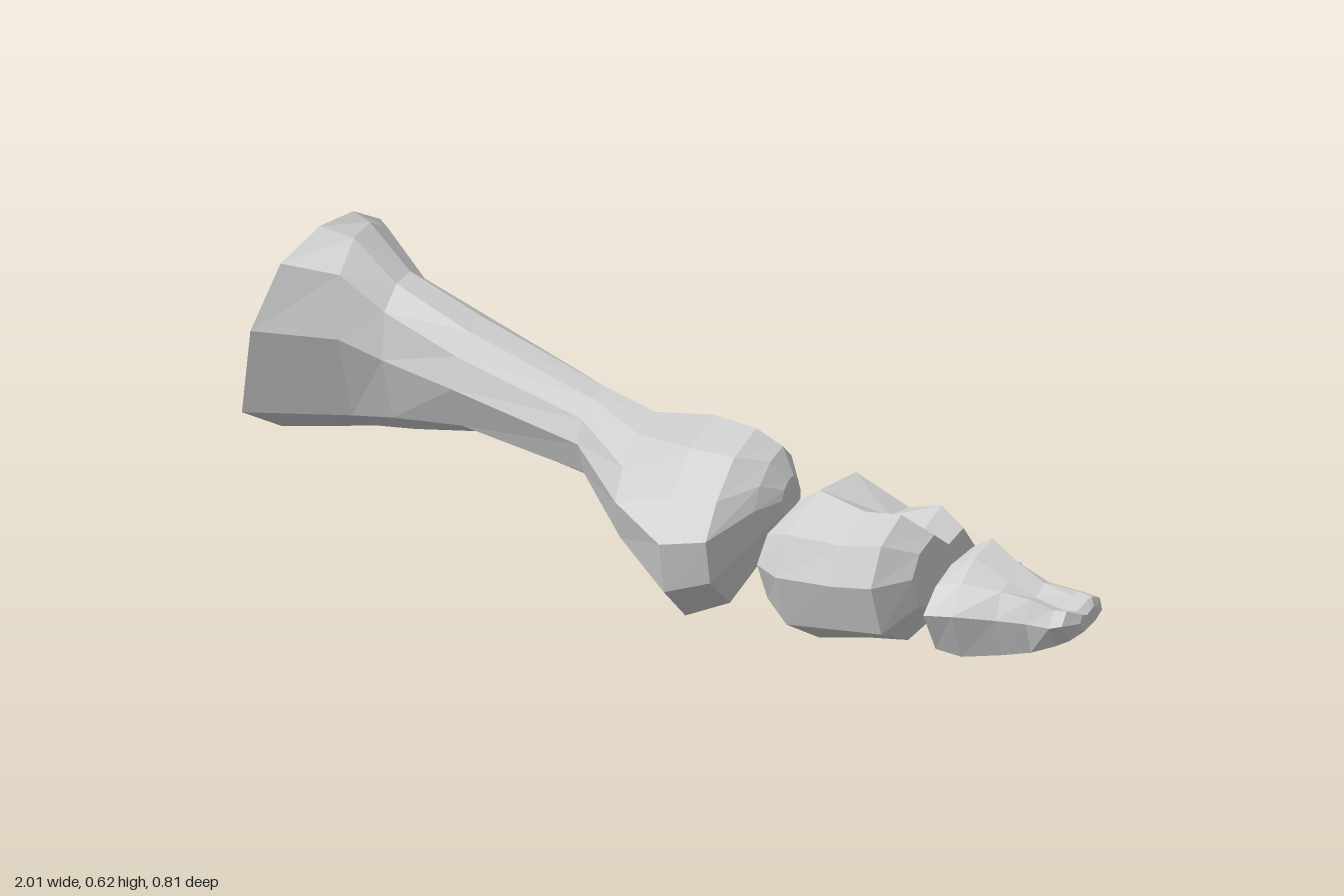
import * as THREE from 'three';

const material = new THREE.MeshStandardMaterial({ color: 0xcccccc, flatShading: true });

// Scale an outline of [z, y] points to the unit square.
function normalise(points) {
  const zs = points.map(p => p[0]), ys = points.map(p => p[1]);
  const z0 = Math.min(...zs), z1 = Math.max(...zs), y0 = Math.min(...ys), y1 = Math.max(...ys);
  return points.map(([z, y]) => [(z - z0) / (z1 - z0), (y - y0) / (y1 - y0)]);
}

// Loft along x. Each section is [x, yMin, yMax, zMin, zMax, slantY, slantZ, blend]:
// the outline blends from startShape to endShape, fills the box and leans by the slants.
function bone(name, startShape, endShape, sections) {
  const a = normalise(startShape), b = normalise(endShape), n = a.length;
  const positions = [], index = [];
  const centres = [];
  for (const [x, y0, y1, z0, z1, slantY = 0, slantZ = 0, blend = 0] of sections) {
    const shape = normalise(a.map((p, i) => [0, 1].map(k => p[k] + (b[i][k] - p[k]) * blend)));
    const centre = [0, 0, 0];
    for (const [u, v] of shape) {
      const y = y0 + (y1 - y0) * v, z = z0 + (z1 - z0) * u;
      const point = [x + slantY * (y - (y0 + y1) / 2) + slantZ * (z - (z0 + z1) / 2), y, z];
      positions.push(...point);
      point.forEach((c, k) => { centre[k] += c / n; });
    }
    centres.push(centre);
  }
  const last = (sections.length - 1) * n, cap = sections.length * n;
  positions.push(...centres[0], ...centres[centres.length - 1]);
  for (let j = 0; j < n; j++) {
    const k = (j + 1) % n;
    for (let r = 0; r < last; r += n) {
      index.push(r + j, r + k, r + n + j, r + k, r + n + k, r + n + j);
    }
    index.push(cap, k, j, cap + 1, last + j, last + k);
  }
  const indexed = new THREE.BufferGeometry();
  indexed.setAttribute('position', new THREE.Float32BufferAttribute(positions, 3));
  indexed.setIndex(index);
  const geometry = indexed.toNonIndexed();
  geometry.computeVertexNormals();
  const mesh = new THREE.Mesh(geometry, material);
  mesh.name = name;
  return mesh;
}

export function createModel() {
  const model = new THREE.Group();
  model.name = 'toeBones';

  // Long bone: wedge-shaped base, slim shaft, knuckle head with two lobes below
  const base = [[-.15, .62], [-.06, .61], [.02, .55], [.03, .41], [-.05, .22],
    [-.2, .155], [-.37, .24], [-.4, .33], [-.32, .47], [-.25, .58]];
  const head = [[.04, .37], [.14, .33], [.22, .25], [.27, .17], [.25, .07],
    [.16, 0], [.1, .08], [-.02, .1], [-.07, .15], [-.02, .31]];
  model.add(bone('longBone', base, head, [
    [-.905, .155, .62, -.405, .03, .41, -.24, 0],
    [-.79, .18, .6, -.4, .01, 0, .1, 0],
    [-.68, .205, .525, -.27, 0, 0, 0, .1],
    [-.5, .24, .465, -.21, .06, 0, 0, .3],
    [-.2, .21, .39, -.07, .12, 0, 0, .5],
    [-.06, .11, .37, -.03, .24, 0, 0, .8],
    [.05, 0, .37, -.08, .27, 0, 0, 1],
    [.15, .04, .36, -.055, .27, 0, 0, 1],
    [.205, .14, .33, -.02, .17, 0, 0, .8],
    [.235, .2, .28, .03, .11, 0, 0, .6],
  ]));

  // Middle bone: short block with a slanted socket and a slight waist
  const socket = [[.1, .315], [.2, .3], [.29, .23], [.32, .15], [.29, .05],
    [.2, .005], [.11, .05], [.02, .1], [0, .15], [.03, .25]];
  const knuckle = [[.19, .24], [.25, .29], [.31, .24], [.34, .16], [.31, .06],
    [.23, .03], [.15, .06], [.08, .12], [.08, .2], [.13, .28]];
  model.add(bone('middleBone', socket, knuckle, [
    [.325, .06, .28, .03, .29, 0, -.42, 0],
    [.37, .005, .315, 0, .315, 0, -.3, 0],
    [.48, .025, .28, .05, .33, 0, -.2, .6],
    [.57, .035, .29, .075, .345, 0, -.2, 1],
    [.625, .1, .25, .1, .29, 0, -.22, 1],
  ]));

  // Tip bone: broad base, narrow waist and a small flared tuft
  const foot = [[.24, .265], [.31, .24], [.36, .2], [.4, .14], [.36, .05],
    [.25, .03], [.18, .07], [.14, .13], [.13, .19], [.18, .21]];
  const tuft = [[.3, .185], [.34, .17], [.38, .18], [.4, .15], [.37, .11],
    [.32, .12], [.27, .13], [.24, .15], [.25, .18], [.28, .19]];
  model.add(bone('tipBone', foot, tuft, [
    [.71, .05, .245, .15, .4, 0, -.22, 0],
    [.75, .035, .265, .14, .39, 0, -.1, 0],
    [.82, .06, .23, .2, .365, 0, 0, .3],
    [.88, .075, .2, .225, .355, 0, 0, .7],
    [.95, .105, .19, .225, .395, 0, 0, 1],
    [.985, .12, .19, .25, .395, 0, -.1, 1],
    [1, .135, .175, .28, .36, 0, 0, 1],
  ]));
  return model;
}
